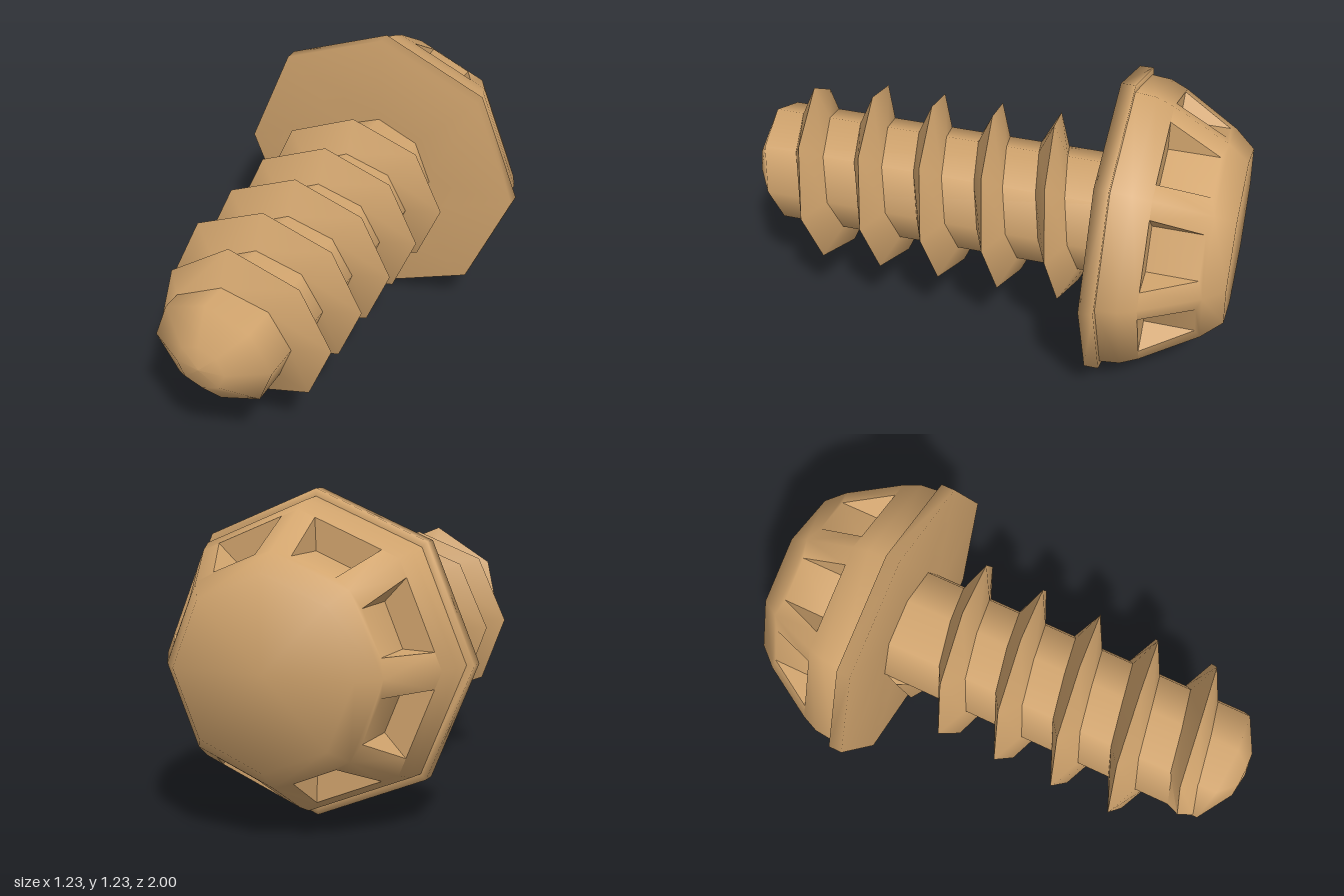
import * as THREE from 'three';
import { toCreasedNormals } from 'three/addons/utils/BufferGeometryUtils.js';

const SIDES = 8;
const AXIS_Y = 0.617;

// Collects triangles and quads into a creased geometry
function builder() {
  const pos = [];
  const tri = (...pts) => pts.forEach((p) => pos.push(p.x, p.y, p.z));
  const quad = (a, b, c, d) => { tri(a, b, c); tri(a, c, d); };
  const build = (crease) => {
    const g = new THREE.BufferGeometry();
    g.setAttribute('position', new THREE.Float32BufferAttribute(pos, 3));
    return toCreasedNormals(g, crease);
  };
  return { tri, quad, build };
}

// Eight-sided lathe along z, profile given as [radius, z] with rising z
function latheZ(profile) {
  const pts = profile.map(([r, z]) => new THREE.Vector2(r, z));
  return new THREE.LatheGeometry(pts, SIDES).rotateX(Math.PI / 2);
}

// Domed octagonal head with one wedge notch in each side
function headGeometry() {
  const { tri, quad, build } = builder();
  const rings = [[0.35, -1], [0.42, -0.92], [0.55, -0.7], [0.58, -0.63], [0.588, -0.55]];
  const corner = (r, z, k) => {
    const a = (k * 2 * Math.PI) / SIDES;
    return new THREE.Vector3(r * Math.cos(a), r * Math.sin(a), z);
  };
  const center = new THREE.Vector3(0, 0, -1);
  for (let k = 0; k < SIDES; k++) {
    const on = (r, z, t) => corner(r, z, k).lerp(corner(r, z, k + 1), t);
    const edge = (i, t) => on(rings[i][0], rings[i][1], t);
    tri(center, edge(0, 1), edge(0, 0));
    for (const i of [0, 2, 3]) quad(edge(i, 0), edge(i, 1), edge(i + 1, 1), edge(i + 1, 0));

    // Sloping panel around the notch
    const L0 = edge(1, 0), L1 = edge(1, 1), H0 = edge(2, 0), H1 = edge(2, 1);
    const A = edge(2, 0.17), B = edge(2, 0.83);
    const C = on(0.432, -0.9, 0.23), D = on(0.432, -0.9, 0.77);
    quad(L0, L1, D, C);
    quad(L0, C, A, H0);
    quad(L1, H1, B, D);

    // Notch: back wall, shelf and two cheeks
    const Ci = C.clone().setZ(-0.7), Di = D.clone().setZ(-0.7);
    quad(C, D, Di, Ci);
    quad(A, Ci, Di, B);
    tri(A, C, Ci);
    tri(B, Di, D);
  }
  return build(1.0);
}

// Shaft with a slightly tilted rounded tip
function shaftGeometry() {
  const g = latheZ([[0.244, -0.5], [0.244, 0.895], [0.1, 0.985], [0, 1]]);
  const p = g.attributes.position;
  for (let i = 0; i < p.count; i++) {
    if (p.getZ(i) > 0) p.setZ(i, p.getZ(i) + 0.6 * p.getY(i) * Math.hypot(p.getX(i), p.getY(i)));
  }
  return g;
}

// Five turns of pointed thread, tapering into the shaft at both ends
function threadGeometry() {
  const { tri, quad, build } = builder();
  const steps = 5 * SIDES, pitch = 0.25, half = 0.06;
  const section = (i) => {
    const a = (i * 2 * Math.PI) / SIDES;
    const z = 0.82 - (pitch * i) / SIDES;
    const taper = Math.min(1, i / 2, (steps - i) / 2);
    const at = (r, dz) => new THREE.Vector3(-r * Math.cos(a), r * Math.sin(a), z + dz);
    return { front: at(0.24, half), crest: at(0.265 + 0.113 * taper, 0), back: at(0.24, -half) };
  };
  for (let i = 0; i < steps; i++) {
    const s = section(i), n = section(i + 1);
    quad(s.front, n.front, n.crest, s.crest);
    quad(s.crest, n.crest, n.back, s.back);
  }
  const s = section(0), e = section(steps);
  tri(s.front, s.crest, s.back);
  tri(e.front, e.back, e.crest);
  return build(0.9);
}

export function createModel() {
  const model = new THREE.Group();
  model.name = 'screw';
  const brass = new THREE.MeshStandardMaterial({ color: 0xd2a56e });
  brass.name = 'brass';

  const add = (name, geometry) => {
    const mesh = new THREE.Mesh(geometry, brass);
    mesh.name = name;
    mesh.position.y = AXIS_Y;
    model.add(mesh);
  };
  add('head', headGeometry());
  add('washerFlange', latheZ([[0.58, -0.55], [0.617, -0.55], [0.617, -0.493], [0.23, -0.493]]));
  add('shaft', shaftGeometry());
  add('thread', threadGeometry());
  return model;
}
